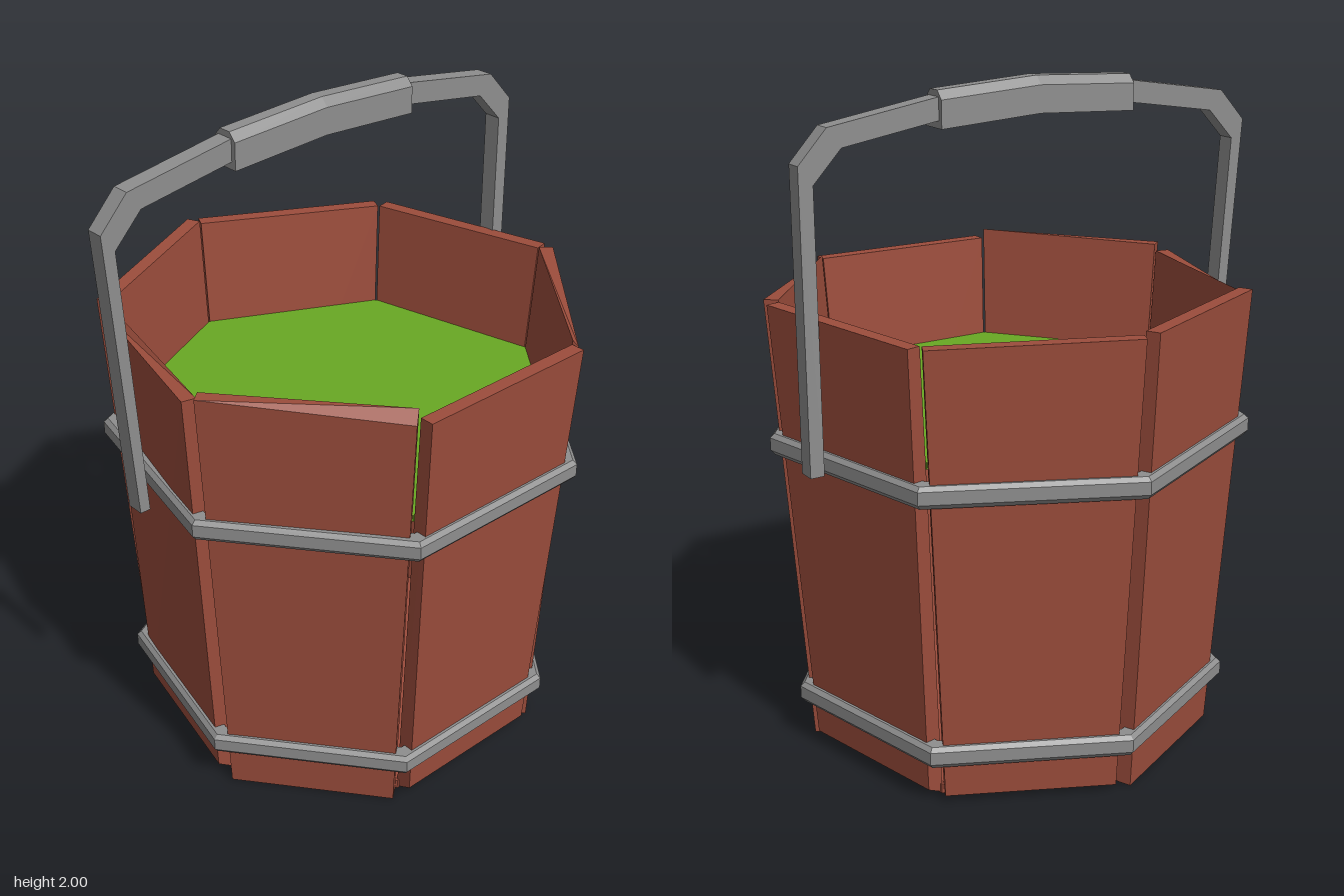
import * as THREE from 'three';

const SIDES = 7;
const STEP = (Math.PI * 2) / SIDES;
const TAN = Math.tan(Math.PI / SIDES);
const COS = Math.cos(Math.PI / SIDES);

function material(name, color) {
  const m = new THREE.MeshStandardMaterial({ color, flatShading: true });
  m.name = name;
  return m;
}

function addMesh(parent, name, geometry, mat) {
  const mesh = new THREE.Mesh(geometry, mat);
  mesh.name = name;
  parent.add(mesh);
  return mesh;
}

// Tapered board: z points out of the bucket; chip lowers and recesses one outer top corner
function plankGeometry({ topL, topR, foot, chip = 0, drop = 0, recess = 0 }) {
  const geo = new THREE.BoxGeometry(2, 2, 2);
  const p = geo.attributes.position;
  for (let i = 0; i < p.count; i++) {
    const side = p.getX(i), up = p.getY(i) > 0, outer = p.getZ(i) > 0;
    const inner = up ? 0.617 : 0.522;
    const half = inner * TAN - 0.003;
    let y = up ? (side < 0 ? topL : topR) : (outer ? foot : 0.002);
    let z = outer ? (up ? 0.66 : 0.575) : inner;
    if (up && outer && side === chip) {
      y -= drop;
      z -= recess;
    }
    p.setXYZ(i, side * half, y, z);
  }
  geo.computeVertexNormals();
  return geo;
}

// Bevelled seven-sided band, given the distance from the axis to its flat sides
function hoopGeometry(apothem, y) {
  const profile = [
    [-0.05, -0.035], [-0.012, -0.035], [0, -0.02], [0, 0.018],
    [-0.012, 0.03], [-0.05, 0.03], [-0.05, -0.035],
  ].map(([r, h]) => new THREE.Vector2((apothem + r) / COS, y + h));
  return new THREE.LatheGeometry(profile, SIDES, -Math.PI / 2).toNonIndexed();
}

export function createModel() {
  const wood = material('red brown wood', 0x9c4d3c);
  const metal = material('grey metal', 0x8e8e8e);
  const slime = material('green liquid', 0x69a823);

  const model = new THREE.Group();
  model.name = 'bucket';

  const body = new THREE.Group();
  body.name = 'bucketBody';
  body.position.set(0.03, 0, -0.05);
  model.add(body);

  // Planks, starting at the left side (+x) and going round past the front
  const planks = [
    { topL: 1.37, topR: 1.375, foot: 0.03 },
    { topL: 1.39, topR: 1.4, foot: 0, chip: 1, drop: 0.035, recess: 0.01 },
    { topL: 1.38, topR: 1.37, foot: 0.035, chip: -1, drop: 0.02, recess: 0.025 },
    { topL: 1.4, topR: 1.39, foot: 0 },
    { topL: 1.38, topR: 1.39, foot: 0.02 },
    { topL: 1.39, topR: 1.38, foot: 0.03 },
    { topL: 1.385, topR: 1.395, foot: 0, chip: -1, drop: 0.02, recess: 0.025 },
  ];
  planks.forEach((spec, i) => {
    const plank = addMesh(body, 'plank' + (i + 1), plankGeometry(spec), wood);
    plank.rotation.y = Math.PI / 2 - i * STEP;
  });

  // Floor and liquid
  const disc = (apothem, h) =>
    new THREE.CylinderGeometry(apothem / COS, apothem / COS, h, SIDES, 1, false, -Math.PI / 2);
  addMesh(body, 'floor', disc(0.53, 0.03), wood).position.y = 0.018;
  addMesh(body, 'liquid', disc(0.594, 0.02), slime).position.y = 1.04;

  // Hoops
  addMesh(body, 'lowerHoop', hoopGeometry(0.605, 0.16), metal);
  addMesh(body, 'upperHoop', hoopGeometry(0.655, 0.97), metal);

  // Handle: bent flat bar drawn in the z-y plane
  const handle = new THREE.Group();
  handle.name = 'handle';
  handle.position.x = -0.035;
  model.add(handle);

  const outline = [
    [0.688, 0.94], [0.755, 1.815], [0.667, 1.91], [0.32, 1.965],
    [-0.32, 1.965], [-0.667, 1.91], [-0.755, 1.815], [-0.755, 0.94],
    [-0.712, 0.94], [-0.712, 1.76], [-0.625, 1.852], [-0.32, 1.9],
    [0.32, 1.9], [0.625, 1.852], [0.713, 1.76], [0.655, 0.94],
  ].map(([z, y]) => new THREE.Vector2(z, y));
  const bar = new THREE.ExtrudeGeometry(new THREE.Shape(outline), { depth: 0.054, bevelEnabled: false });
  bar.translate(0, 0, -0.027).rotateY(-Math.PI / 2);
  addMesh(handle, 'handleBar', bar, metal);

  // Grip: chamfered bar that droops toward both ends
  const section = [
    [-0.042, 1.895], [0.042, 1.895], [0.042, 1.975], [0.02, 2], [-0.02, 2], [-0.042, 1.975],
  ].map(([x, y]) => new THREE.Vector2(x, y));
  const grip = new THREE.ExtrudeGeometry(new THREE.Shape(section), { depth: 0.65, steps: 2, bevelEnabled: false });
  grip.translate(0, 0, -0.325);
  const p = grip.attributes.position;
  for (let i = 0; i < p.count; i++) p.setY(i, p.getY(i) - 0.055 * Math.abs(p.getZ(i)));
  grip.computeVertexNormals();
  addMesh(handle, 'grip', grip, metal);

  return model;
}
